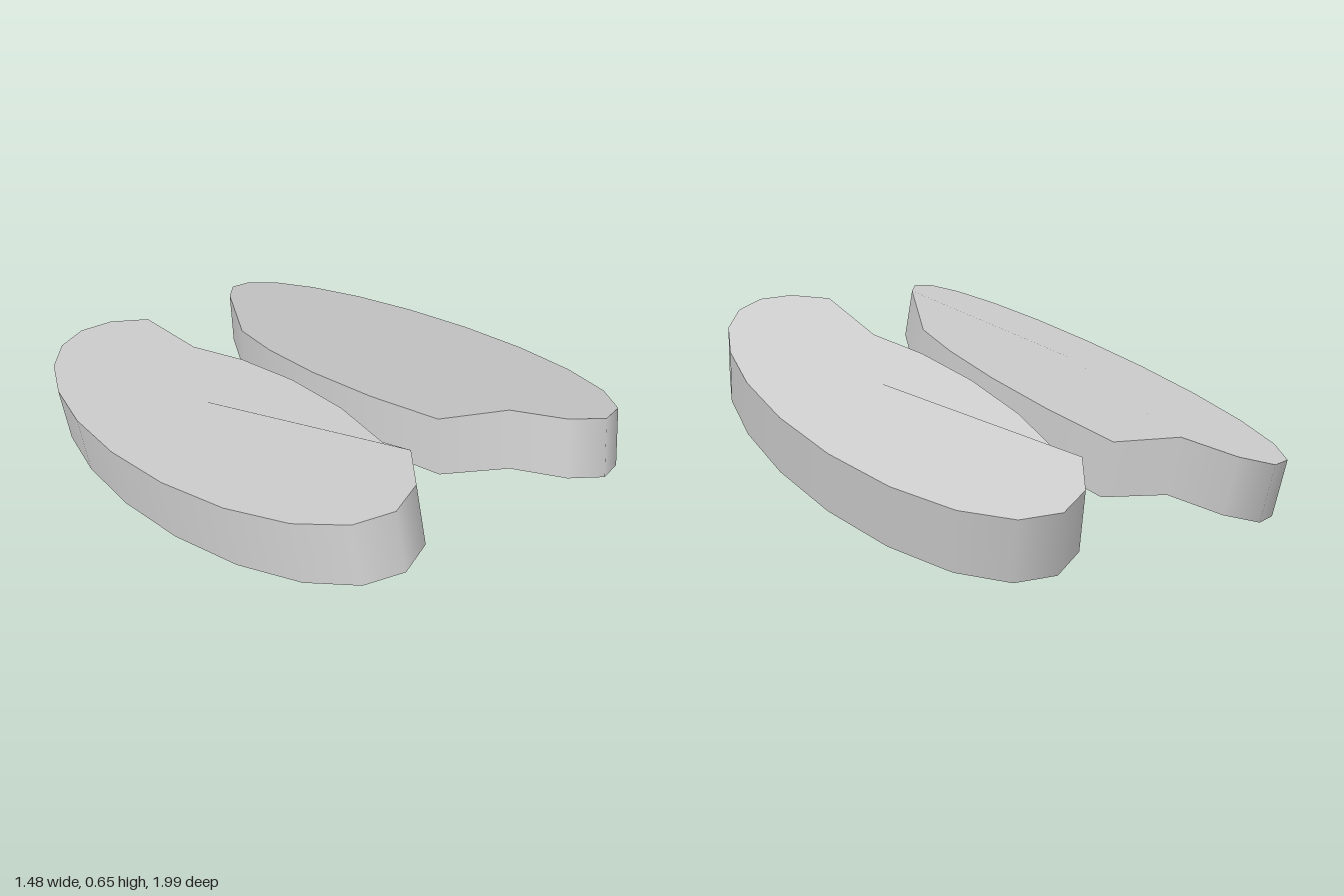
import * as THREE from 'three';

// Tilted elliptical slab: a 20-sided disc, sheared into place, with its inner edge stepped down
function slab({ name, side, base, radiusX, slopeX, axis, drop }) {
  const radiusZ = 0.975, slopeZ = 0.215;
  const geo = new THREE.CylinderGeometry(1, 1, 1, 20);
  const pos = geo.attributes.position;

  // Rim vertices facing the other slab
  const inner = [];
  for (let i = 0; i < pos.count; i++) if (pos.getX(i) * side < -0.7) inner.push(i);

  // Lay the disc on its sloping plane, thickened along the axis
  const thickness = new THREE.Vector3(...axis);
  const centre = new THREE.Vector3(...base).addScaledVector(thickness, 0.5);
  const place = new THREE.Matrix4().makeBasis(
    new THREE.Vector3(radiusX, radiusX * slopeX, 0),
    thickness,
    new THREE.Vector3(0, radiusZ * slopeZ, radiusZ)
  ).setPosition(centre);
  geo.applyMatrix4(place);

  // Step the inner edge down
  for (const i of inner) pos.setY(i, pos.getY(i) - drop);

  const mesh = new THREE.Mesh(geo, new THREE.MeshStandardMaterial({ color: 0xcccccc }));
  mesh.name = name;
  return mesh;
}

export function createModel() {
  const group = new THREE.Group();
  group.name = 'pairedSlabs';
  group.add(
    slab({
      name: 'leftSlab', side: 1, base: [0.3675, 0.23, 0.02],
      radiusX: 0.3525, slopeX: -0.22, axis: [0.015, 0.182, -0.042], drop: 0.097
    }),
    slab({
      name: 'rightSlab', side: -1, base: [-0.3875, 0.256, 0.02],
      radiusX: 0.3425, slopeX: 0.165, axis: [-0.01, 0.183, -0.042], drop: 0.102
    })
  );
  return group;
}
